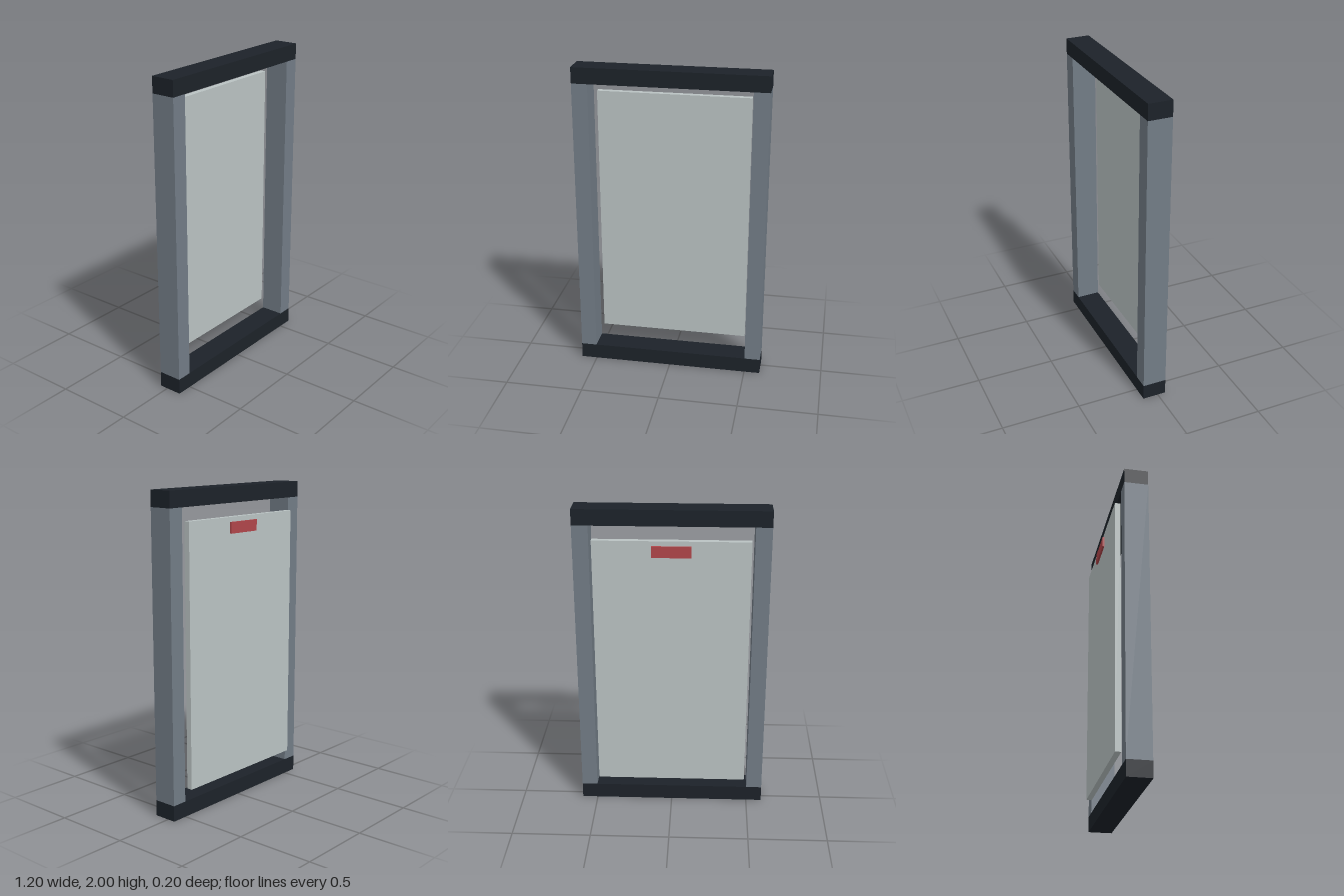
import * as THREE from 'three';

// Box given by its centre and size, with its own colour
function box(name, color, [w, h, d], [x, y, z]) {
  const mesh = new THREE.Mesh(
    new THREE.BoxGeometry(w, h, d),
    new THREE.MeshStandardMaterial({ color })
  );
  mesh.name = name;
  mesh.position.set(x, y, z);
  return mesh;
}

export function createModel() {
  const model = new THREE.Group();
  model.name = 'framedPanel';

  const width = 1.2, height = 2, bar = 0.1;
  const front = 0.1, frameBack = -0.052, panelBack = -0.088, back = -0.1;
  const depth = front - frameBack;
  const frameZ = (front + frameBack) / 2;

  // Frame: dark rails above and below, grey posts between them
  const frame = new THREE.Group();
  frame.name = 'frame';
  for (const [name, y] of [['bottomRail', bar / 2], ['topRail', height - bar / 2]]) {
    frame.add(box(name, 0x1c2229, [width, bar, depth], [0, y, frameZ]));
  }
  for (const [name, side] of [['leftPost', 1], ['rightPost', -1]]) {
    frame.add(box(name, 0x727c86, [bar, height - 2 * bar, depth],
      [side * (width - bar) / 2, height / 2, frameZ]));
  }
  model.add(frame);

  // Panel behind the opening, flush with the back of the frame
  model.add(box('panel', 0xbac3c3, [0.96, 1.64, frameBack - panelBack],
    [0, 1, (frameBack + panelBack) / 2]));

  // Red tag on the back of the panel
  model.add(box('tag', 0xb0464a, [0.24, 0.07, panelBack - back],
    [0, 1.755, (panelBack + back) / 2]));

  return model;
}
